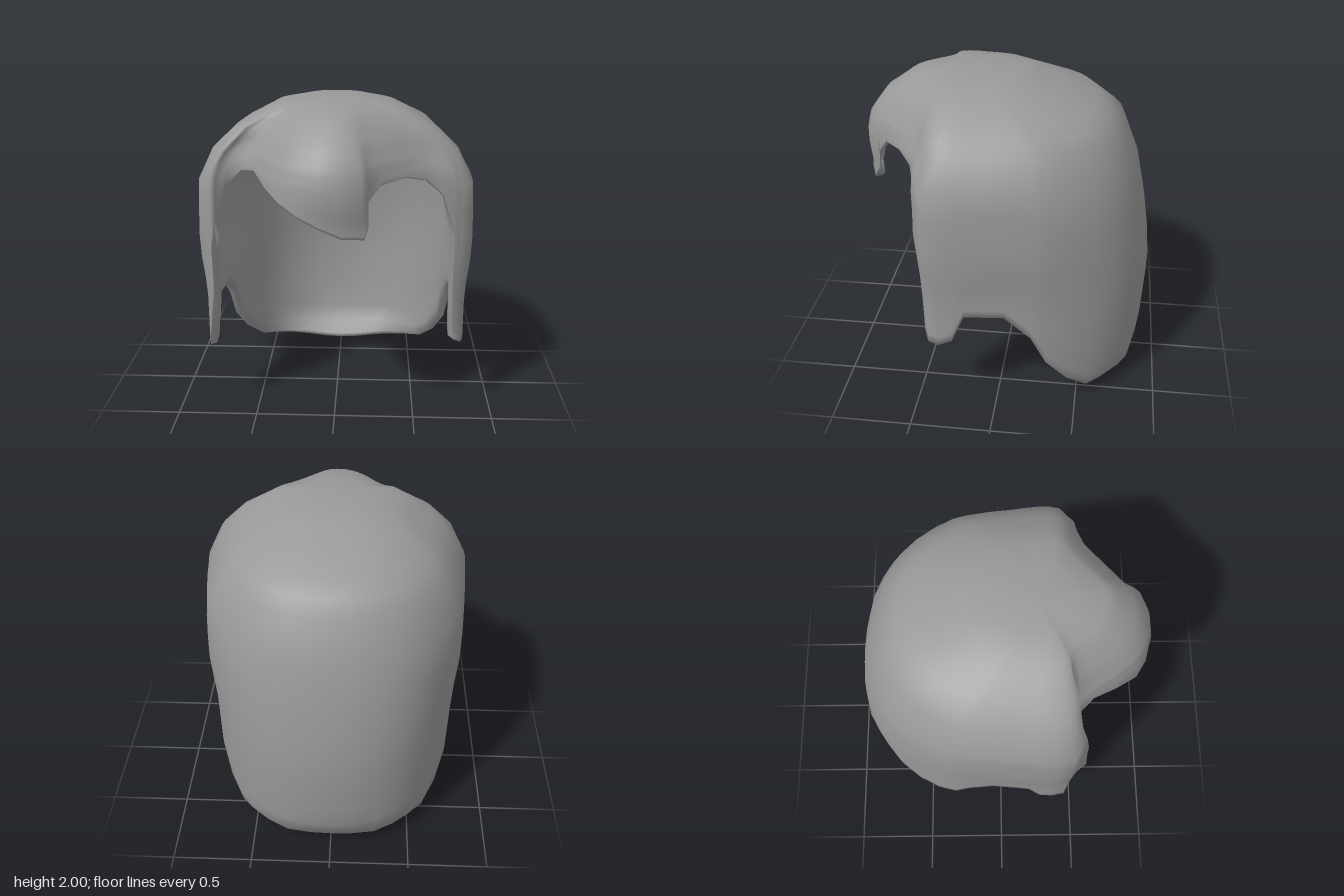
import * as THREE from 'three';
import { mergeVertices } from 'three/addons/utils/BufferGeometryUtils.js';

const { lerp, smoothstep } = THREE.MathUtils;

// Columns of hair from the back centre towards a sideburn: [x, z, height of the lower rim]
const sideColumns = [
  [0.15, -0.91, 0.005], [0.3, -0.875, 0.02], [0.43, -0.81, 0.04], [0.54, -0.73, 0.06],
  [0.64, -0.61, 0.09], [0.72, -0.47, 0.2], [0.78, -0.33, 0.36], [0.8, -0.23, 0.55],
  [0.82, -0.06, 0.7], [0.835, 0.1, 0.7], [0.845, 0.19, 0.7], [0.85, 0.27, 0.52], [0.85, 0.36, 0.48],
];
// Face opening and swept fringe, from the left sideburn across to the right one
const frontColumns = [
  [0.83, 0.43, 0.49], [0.77, 0.46, 0.53], [0.75, 0.465, 0.85], [0.73, 0.485, 1.2], [0.65, 0.49, 1.46],
  [0.55, 0.53, 1.56], [0.42, 0.62, 1.6], [0.27, 0.73, 1.58], [0.18, 0.8, 1.47], [0.21, 0.82, 1.36],
  [0.19, 0.86, 1.295], [0.06, 0.91, 1.31], [-0.08, 0.91, 1.37], [-0.2, 0.88, 1.43], [-0.3, 0.81, 1.49],
  [-0.39, 0.68, 1.54], [-0.48, 0.55, 1.61], [-0.57, 0.46, 1.59], [-0.67, 0.42, 1.48],
  [-0.73, 0.48, 1.25], [-0.745, 0.53, 1.13], [-0.78, 0.48, 0.82], [-0.83, 0.45, 0.45],
];
const columns = [
  [0, -0.92, 0],
  ...sideColumns,
  ...frontColumns,
  ...sideColumns.map(([x, z, rim]) => [-x, z, rim]).reverse(),
];

// Spread from the crown at each height for the back, side and front, and how far forward the crown sits
const levels = [2, 1.99, 1.96, 1.84, 1.7, 1.6, 1.5, 1.35, 1.1, 0.8, 0.4, 0.1, 0];
const back = [0, 0.28, 0.36, 0.66, 0.77, 0.82, 0.86, 0.91, 0.955, 1, 0.98, 0.94, 0.77];
const side = [0, 0.26, 0.44, 0.69, 0.86, 0.95, 0.98, 0.99, 1, 0.955, 0.95, 0.935, 0.88];
const front = [0, 0.28, 0.52, 0.79, 0.97, 1, 1, 0.97, 0.97, 0.94, 0.94, 0.94, 0.9];
const forward = [0.18, 0.18, 0.15, 0.07, 0, 0, 0, 0, 0, 0, 0, 0, 0];

function sample(table, y) {
  let k = 0;
  while (k < levels.length - 2 && y < levels[k + 1]) k++;
  return lerp(table[k], table[k + 1], (levels[k] - y) / (levels[k] - levels[k + 1]));
}

// Softened outline for the crown: the front columns are averaged with their neighbours
function softenOutline() {
  let soft = columns.map(([x, z]) => [x, z]);
  for (let pass = 0; pass < 6; pass++) {
    soft = soft.map(([x, z], i) => {
      const p = soft.at(i - 1), q = soft[(i + 1) % soft.length];
      const amount = 0.5 * smoothstep(columns[i][1], 0.1, 0.45);
      return [lerp(x, (p[0] + q[0]) / 2, amount), lerp(z, (p[1] + q[1]) / 2, amount)];
    });
  }
  return soft;
}

// Point on a column at height y; detail goes from the soft outline (0) to the exact one (1)
function hairPoint(column, soft, y, detail) {
  const x = lerp(soft[0], column[0], detail);
  const z = lerp(soft[1], column[1], detail);
  const weight = (z * z) / (x * x + z * z);
  const s = lerp(sample(side, y), sample(z < 0 ? back : front, y), weight);
  return new THREE.Vector3(x * s, y, z * s + sample(forward, y));
}

// Grid closed around the head, with its rows running downwards
function gridGeometry(rows) {
  const n = rows[0].length;
  const index = [];
  for (let j = 0; j < rows.length - 1; j++) {
    for (let i = 0; i < n; i++) {
      const k = (i + 1) % n;
      const a = j * n + i, b = j * n + k;
      if (!rows[j + 1][i].equals(rows[j + 1][k])) index.push(a, b + n, a + n);
      if (!rows[j][i].equals(rows[j][k])) index.push(a, b, b + n);
    }
  }
  const geometry = new THREE.BufferGeometry().setFromPoints(rows.flat());
  geometry.setIndex(index);
  geometry.computeVertexNormals();
  return geometry;
}

export function createModel() {
  const soft = softenOutline();
  const crownRows = [2, 1.99, 1.96, 1.91, 1.84, 1.77, 1.7];
  const lowerRows = 9;

  // Outer surface: fixed rows over the crown, then rows spaced down to the rim
  const outer = crownRows.map((y) => columns.map(
    (c, i) => hairPoint(c, soft[i], y, 0.65 * smoothstep(2 - y, 0, 0.3))));
  for (let k = 1; k <= lowerRows; k++) {
    const t = 1 - Math.pow(1 - k / lowerRows, 1.4);
    outer.push(columns.map((c, i) => hairPoint(c, soft[i], lerp(1.7, c[2], t), 0.65 + 0.35 * t * t)));
  }

  // Inner surface: the outer one moved inwards, slightly thinner at the rim
  const normals = gridGeometry(outer).getAttribute('normal');
  const normal = new THREE.Vector3();
  const inner = outer.map((row, j) => row.map((p, i) => {
    if (j === 0) return new THREE.Vector3(0, 1.94, 0.18);
    normal.fromBufferAttribute(normals, j * columns.length + i);
    const q = p.clone().addScaledVector(normal, j === outer.length - 1 ? -0.045 : -0.06);
    q.y = Math.max(q.y, 0.01);
    return q;
  }));

  // Both surfaces joined into one thick cap of hair
  const geometry = gridGeometry([...outer, ...inner.reverse()]);
  geometry.deleteAttribute('normal');
  const cap = mergeVertices(geometry, 1e-5);
  cap.computeVertexNormals();
  const hair = new THREE.Mesh(cap, new THREE.MeshStandardMaterial({ color: 0x999999 }));
  hair.name = 'hair';

  const group = new THREE.Group();
  group.name = 'hairpiece';
  group.add(hair);
  return group;
}
